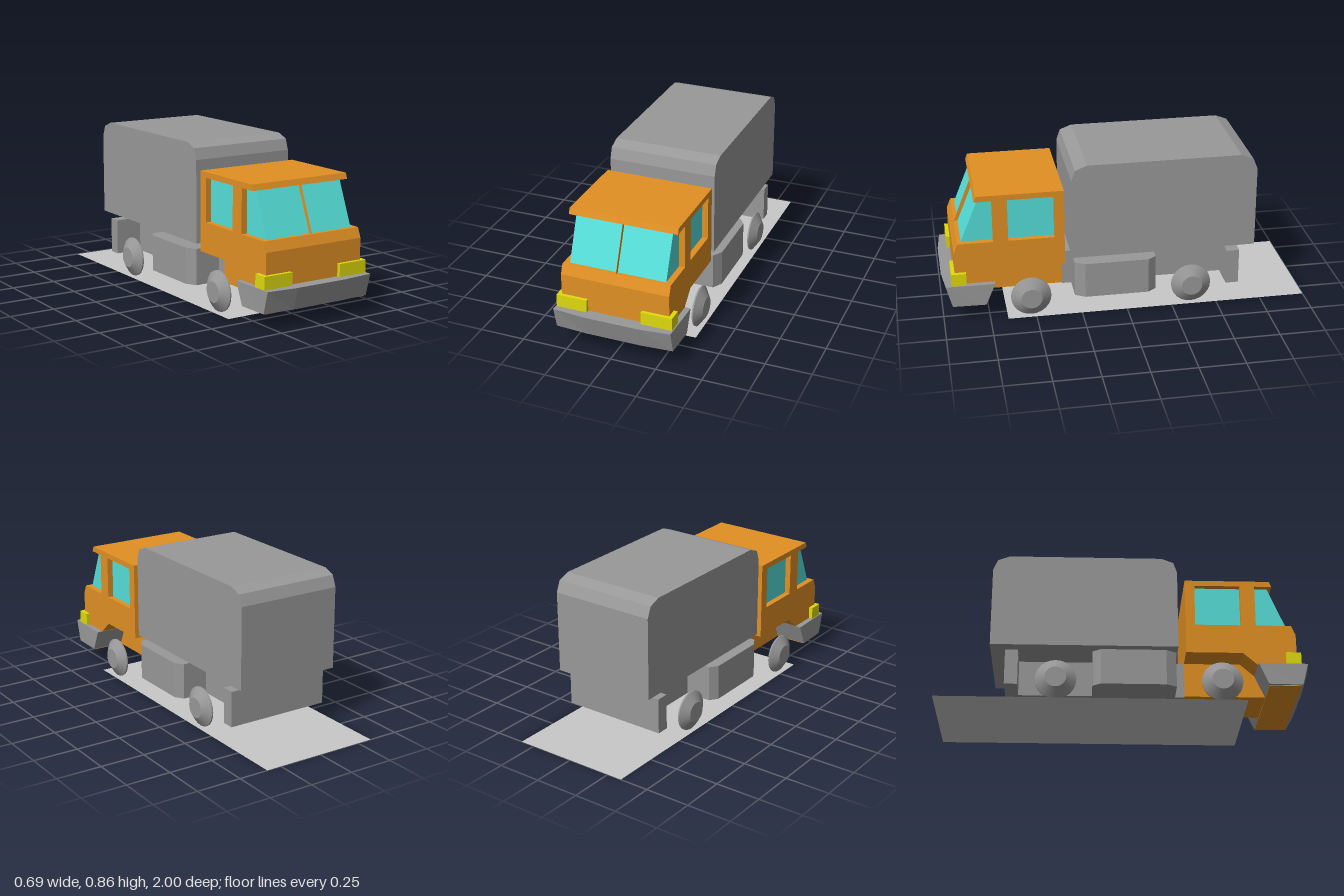
import * as THREE from 'three';

const mat = (name, color, side = THREE.FrontSide) => {
  const m = new THREE.MeshStandardMaterial({ color, side });
  m.name = name;
  return m;
};

export function createModel() {
  const truck = new THREE.Group();
  truck.name = 'truck';

  const grey = mat('grey', 0x999999);
  const orange = mat('orange', 0xe19024);
  const glass = mat('glass', 0x56e0da);
  const yellow = mat('yellow', 0xe0da0d);
  const paleGrey = mat('paleGrey', 0xc8c8c8, THREE.DoubleSide);

  const add = (name, geometry, material) => {
    const mesh = new THREE.Mesh(geometry, material);
    mesh.name = name;
    truck.add(mesh);
    return mesh;
  };
  // Box given by its limits on each axis
  const box = (name, [x0, x1], [y0, y1], [z0, z1], material) => {
    const g = new THREE.BoxGeometry(x1 - x0, y1 - y0, z1 - z0);
    return add(name, g.translate((x0 + x1) / 2, (y0 + y1) / 2, (z0 + z1) / 2), material);
  };
  const extrude = (points, depth) => new THREE.ExtrudeGeometry(
    new THREE.Shape(points.map(([a, b]) => new THREE.Vector2(a, b))),
    { depth, bevelEnabled: false });
  // Side profile of (z, y) points, extruded across the width
  const profile = (points, halfWidth) =>
    extrude(points, halfWidth * 2).rotateY(-Math.PI / 2).translate(halfWidth, 0, 0);
  // Ground plan of (x, z) points, extruded upward
  const plan = (points, y0, y1) =>
    extrude(points.map(([x, z]) => [x, -z]), y1 - y0).rotateX(-Math.PI / 2).translate(0, y0, 0);

  // Cargo box with chamfered top ends
  add('cargoBox', profile([
    [0.295, 0.32], [0.295, 0.77], [0.275, 0.83], [0.21, 0.855],
    [-0.625, 0.855], [-0.69, 0.83], [-0.715, 0.77], [-0.715, 0.32],
  ], 0.298), grey);

  // Cab: lower body with wheel arch, inset glasshouse, pillars and roof
  add('cabBody', profile([
    [0.335, 0.288], [0.335, 0.453], [0.908, 0.453], [0.93, 0.4],
    [0.93, 0.097], [0.77, 0.097], [0.72, 0.217], [0.64, 0.288],
  ], 0.298), orange);
  box('cabUnderframe', [-0.145, 0.145], [0.095, 0.288], [0.335, 0.78], orange);
  add('windows', profile([
    [0.36, 0.453], [0.36, 0.69], [0.79, 0.69], [0.887, 0.453],
  ], 0.265), glass);
  add('roof', profile([
    [0.335, 0.69], [0.335, 0.721], [0.8, 0.721], [0.812, 0.69],
  ], 0.298), orange);
  box('cabRearWall', [-0.298, 0.298], [0.453, 0.69], [0.335, 0.388], orange);
  box('doorPillars', [-0.298, 0.298], [0.453, 0.69], [0.637, 0.717], orange);
  add('windscreenDivider', profile([
    [0.887, 0.453], [0.79, 0.69], [0.812, 0.69], [0.908, 0.453],
  ], 0.001), orange);

  // Bumper: bowed plan whose underside is pulled in front and back
  const bumper = plan([
    [-0.33, 0.718], [-0.325, 0.983], [-0.15, 1], [0.15, 1], [0.325, 0.983], [0.33, 0.718],
  ], 0.096, 0.217);
  const p = bumper.attributes.position;
  for (let i = 0; i < p.count; i++) {
    if (p.getY(i) < 0.15) p.setZ(i, 0.77 + (p.getZ(i) - 0.718) * 0.68);
  }
  bumper.computeVertexNormals();
  add('bumper', bumper, grey);
  box('bumperUnderside', [-0.315, 0.315], [0.092, 0.097], [0.772, 0.945], orange);

  // Chassis and rear crossbar
  box('chassis', [-0.145, 0.145], [0.09, 0.288], [-0.6, 0.335], grey);
  box('rearCrossbar', [-0.298, 0.298], [0.09, 0.288], [-0.632, -0.562], grey);

  // Conical wheel, axis along +x, with a flat hub
  const wheelProfile = [[0, 0], [0.11, 0], [0.11, 0.008], [0.057, 0.043]];
  const makeWheel = () => {
    const wheel = new THREE.Group();
    for (let i = 0; i < 3; i++) {
      const pts = [wheelProfile[i], wheelProfile[i + 1]].map(([r, h]) => new THREE.Vector2(r, h));
      const ring = new THREE.Mesh(new THREE.LatheGeometry(pts, 24), grey);
      ring.name = ['wheelBack', 'tread', 'tyreWall'][i];
      wheel.add(ring);
    }
    const hub = new THREE.Mesh(
      new THREE.CircleGeometry(0.057, 24).rotateX(-Math.PI / 2).translate(0, 0.043, 0), grey);
    hub.name = 'hub';
    wheel.add(hub);
    return wheel;
  };

  for (const s of [1, -1]) {
    const side = s > 0 ? 'left' : 'right';
    // Side tanks with chamfered outer corners
    add(side + 'Tank', plan([
      [s * 0.14, 0.283], [s * 0.29, 0.283], [s * 0.322, 0.228],
      [s * 0.322, -0.12], [s * 0.29, -0.165], [s * 0.14, -0.165],
    ], 0.088, 0.288), grey);
    // Headlights
    const x = [s * 0.15, s * 0.32].sort((a, b) => a - b);
    box(side + 'Headlight', x, [0.215, 0.286], [0.87, 0.95], yellow);
    // Wheels
    for (const [end, z] of [['Front', 0.525], ['Rear', -0.36]]) {
      const wheel = makeWheel();
      wheel.name = side + end + 'Wheel';
      wheel.rotation.z = -s * Math.PI / 2;
      wheel.position.set(s * 0.303, 0.115, z);
      truck.add(wheel);
    }
  }

  // Flat ground plate under the truck
  const plate = add('groundPlate',
    new THREE.PlaneGeometry(0.67, 1.655).rotateX(-Math.PI / 2), paleGrey);
  plate.position.set(0, 0, -0.1725);

  return truck;
}
